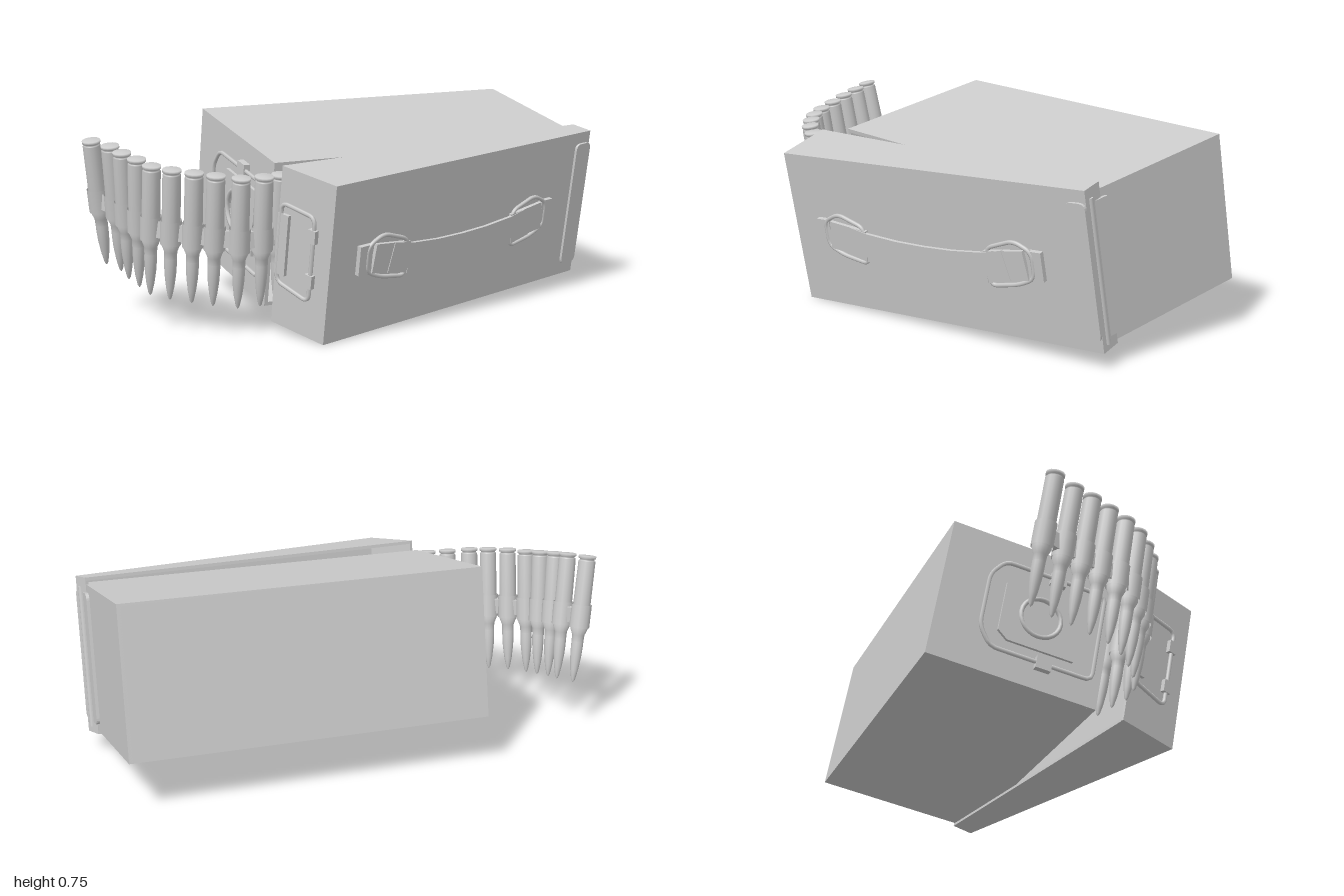
import * as THREE from 'three';

const mat = new THREE.MeshStandardMaterial({ color: 0xcccccc, side: THREE.DoubleSide });
const V = (x, y, z) => new THREE.Vector3(x, y, z);

function add(parent, name, geo, x = 0, y = 0, z = 0) {
  const m = new THREE.Mesh(geo, mat);
  m.name = name;
  m.position.set(x, y, z);
  parent.add(m);
  return m;
}
// box given by its minimum and maximum corners
function block(parent, name, a, b) {
  return add(parent, name, new THREE.BoxGeometry(b[0] - a[0], b[1] - a[1], b[2] - a[2]),
    (a[0] + b[0]) / 2, (a[1] + b[1]) / 2, (a[2] + b[2]) / 2);
}
// closed wire through corner points, with short bends
function wire(parent, name, pts, r) {
  const path = new THREE.CurvePath();
  const n = pts.length;
  const near = (p, q) => p.clone().lerp(q, Math.min(0.45, 0.03 / p.distanceTo(q)));
  pts.forEach((p, i) => {
    const prev = pts[(i + n - 1) % n], next = pts[(i + 1) % n];
    path.add(new THREE.QuadraticBezierCurve3(near(p, prev), p, near(p, next)));
    path.add(new THREE.LineCurve3(near(p, next), near(next, p)));
  });
  return add(parent, name, new THREE.TubeGeometry(path, 80, r, 6, true));
}
// thin plate with rounded corners, lying in the xy plane
function roundedPlate(w, h, r, depth) {
  const s = new THREE.Shape();
  s.moveTo(r, 0).lineTo(w - r, 0).quadraticCurveTo(w, 0, w, r).lineTo(w, h - r)
    .quadraticCurveTo(w, h, w - r, h).lineTo(r, h).quadraticCurveTo(0, h, 0, h - r)
    .lineTo(0, r).quadraticCurveTo(0, 0, r, 0);
  return new THREE.ExtrudeGeometry(s, { depth, bevelEnabled: false, curveSegments: 5 });
}

// Can: x along its length, y its height, the mouth opens towards +z
function makeCan() {
  const can = new THREE.Group();
  can.name = 'can';
  const L = 1.35, H = 0.56, D = 0.66, t = 0.014;
  block(can, 'canFloor', [0, 0, 0], [L, H, t]);
  block(can, 'canLowerSide', [0, 0, 0], [L, t, D]);
  block(can, 'canUpperSide', [0, H - t, 0], [L, H, D]);
  block(can, 'canLatchEnd', [0, 0, 0], [t, H, D]);
  block(can, 'canHingeEnd', [L - t, 0, 0], [L, H, D]);

  // hinge leaf and pin
  const leaf = add(can, 'hingeLeaf', roundedPlate(0.09, 0.5, 0.025, 0.012), L, 0.03, 0.64);
  leaf.rotation.y = Math.PI / 2;
  add(can, 'hingePin', new THREE.CylinderGeometry(0.012, 0.012, 0.54, 10), L + 0.012, H / 2, 0.645);

  // latch on the left-hand end: wire bail, lever plate, ring and clips
  const latch = new THREE.Group();
  latch.name = 'latch';
  can.add(latch);
  wire(latch, 'latchBail', [V(-0.015, 0.1, 0.62), V(-0.015, 0.1, 0.22), V(-0.015, 0.17, 0.17),
    V(-0.015, 0.39, 0.17), V(-0.015, 0.46, 0.22), V(-0.015, 0.46, 0.62)], 0.008);
  const hole = new THREE.Path().absarc(0.15, 0.13, 0.075, 0, Math.PI * 2, true);
  const lever = new THREE.Shape([[0, 0.03], [0.04, 0], [0.3, 0], [0.3, 0.26], [0.04, 0.26], [0, 0.23]]
    .map(p => new THREE.Vector2(...p)));
  lever.holes.push(hole);
  const plate = add(latch, 'latchLever',
    new THREE.ExtrudeGeometry(lever, { depth: 0.012, bevelEnabled: false }), -0.014, 0.15, 0.24);
  plate.rotation.y = -Math.PI / 2;
  plate.position.x = 0;
  const ring = add(latch, 'latchRing', new THREE.TorusGeometry(0.078, 0.009, 6, 24), -0.014, 0.28, 0.39);
  ring.rotation.y = Math.PI / 2;
  for (const y of [0.1, 0.46])
    block(latch, 'latchClip', [-0.025, y - 0.025, 0.4], [0, y + 0.025, 0.46]);
  return can;
}

// Lid: a wedge-shaped tray, deep at the latch end, front face on z = 0
function makeLid() {
  const lid = new THREE.Group();
  lid.name = 'lid';
  const W = 1.345, H = 0.6, t = 0.012;
  const wedge = new THREE.Shape([[0, 0], [W, 0], [1.342, 0.089], [-0.029, 0.257]]
    .map(p => new THREE.Vector2(...p)));
  for (const y of [0, H - t]) {
    const skirt = new THREE.ExtrudeGeometry(wedge, { depth: t, bevelEnabled: false });
    add(lid, 'lidSkirt', skirt.rotateX(-Math.PI / 2), 0, y, 0);
  }
  block(lid, 'lidFront', [0, 0, -t], [W, H, 0]);
  block(lid, 'lidHingeEnd', [W - t, 0, -0.089], [W, H, 0]);

  // latch end with its wire catch; z runs along the end wall
  const end = new THREE.Group();
  end.name = 'lidLatchEnd';
  end.rotation.y = Math.atan2(0.029, 0.257);
  lid.add(end);
  block(end, 'lidEndWall', [0, 0, -0.258], [t, H, 0]);
  wire(end, 'lidCatch', [V(-0.008, 0.17, -0.24), V(-0.008, 0.14, -0.08),
    V(-0.008, 0.46, -0.08), V(-0.008, 0.47, -0.24)], 0.008);
  for (const y of [0.22, 0.39])
    block(end, 'catchClip', [-0.018, y - 0.025, -0.1], [0, y + 0.025, -0.065]);
  block(end, 'catchHook', [-0.014, 0.2, -0.25], [0, 0.43, -0.2]);

  // hinge leaf on the front
  add(lid, 'lidHingeLeaf', roundedPlate(0.08, 0.51, 0.025, 0.01), W - 0.08, 0.045, 0);

  // carrying handle: tabs, wire loops and a slightly sagging strap
  const handle = new THREE.Group();
  handle.name = 'handle';
  handle.position.set(0.635, 0.3, 0);
  lid.add(handle);
  for (const s of [-1, 1]) {
    const x0 = s * 0.51, x1 = s * 0.45;
    block(handle, 'handleTab', [Math.min(x0, x1), -0.055, 0], [Math.max(x0, x1), 0.055, 0.018]);
    wire(handle, 'handleLoop', [V(s * 0.47, -0.05, 0.014), V(s * 0.47, 0.05, 0.014), V(s * 0.4, 0.085, 0.016),
      V(s * 0.28, 0.045, 0.018), V(s * 0.28, -0.1, 0.018), V(s * 0.4, -0.08, 0.016)], 0.008);
    const pad = block(handle, 'strapEnd', [-0.085, -0.055, 0.012], [0.085, 0.055, 0.026]);
    pad.position.set(s * 0.36, -0.01, 0.018);
    pad.rotation.z = s * 0.12;
  }
  const strap = [[-0.36, -0.01], [-0.27, -0.03], [-0.13, -0.042], [0, -0.045],
    [0.13, -0.042], [0.27, -0.03], [0.36, -0.01]];
  for (let i = 0; i < strap.length - 1; i++) {
    const [ax, ay] = strap[i], [bx, by] = strap[i + 1];
    const seg = add(handle, 'strap', new THREE.BoxGeometry(Math.hypot(bx - ax, by - ay) + 0.004, 0.115, 0.012),
      (ax + bx) / 2, (ay + by) / 2, 0.022);
    seg.rotation.z = Math.atan2(by - ay, bx - ax);
  }
  return lid;
}

// Belt of cartridges curving out of the mouth, heads up and points down
function makeBelt() {
  const belt = new THREE.Group();
  belt.name = 'cartridgeBelt';
  const lathe = pts => new THREE.LatheGeometry(pts.map(p => new THREE.Vector2(...p)), 14);
  const caseGeo = lathe([[0.023, -0.335], [0.024, -0.31], [0.034, -0.285], [0.033, -0.02], [0.028, -0.018],
    [0.028, -0.012], [0.034, -0.01], [0.034, 0], [0, 0]]);
  const bulletGeo = lathe([[0, -0.5], [0.007, -0.49], [0.015, -0.45], [0.021, -0.4], [0.023, -0.36], [0.023, -0.33]]);
  const linkGeo = new THREE.CylinderGeometry(0.039, 0.039, 0.09, 14, 1, true);
  const heads = [[-0.965, 0.695, -0.05], [-0.91, 0.685, 0.03], [-0.88, 0.67, 0.1], [-0.84, 0.655, 0.17],
    [-0.8, 0.64, 0.24], [-0.74, 0.632, 0.3], [-0.67, 0.625, 0.345], [-0.6, 0.617, 0.38],
    [-0.515, 0.607, 0.405], [-0.43, 0.607, 0.4], [-0.36, 0.605, 0.365], [-0.29, 0.6, 0.33]];
  let last = null;
  heads.forEach((h, i) => {
    const c = new THREE.Group();
    c.name = 'cartridge';
    c.position.set(...h);
    const dir = V(Math.max(0, 0.06 - 0.015 * i), -0.5, -0.08).normalize();
    c.quaternion.setFromUnitVectors(V(0, -1, 0), dir);
    add(c, 'case', caseGeo);
    add(c, 'bullet', bulletGeo);
    add(c, 'linkLoop', linkGeo, 0, -0.235, 0);
    belt.add(c);
    const mid = c.position.clone().addScaledVector(dir, 0.235);
    if (last) {
      const bar = add(belt, 'linkBar', new THREE.BoxGeometry(0.03, 0.06, mid.distanceTo(last)));
      bar.position.copy(mid).lerp(last, 0.5);
      bar.lookAt(last);
    }
    last = mid;
  });
  return belt;
}

export function createModel() {
  const model = new THREE.Group();
  model.name = 'ammunitionBox';
  const deg = Math.PI / 180;
  const box = new THREE.Group();
  box.name = 'box';
  box.position.set(-0.497, 0.206, -0.42);
  box.rotation.set(10.4 * deg, 9.8 * deg, 0, 'YXZ');
  const lid = makeLid();
  lid.position.set(0.071, -0.013, 1.005);
  lid.rotation.y = 14.2 * deg;
  box.add(makeCan(), lid);
  model.add(box, makeBelt());
  return model;
}
